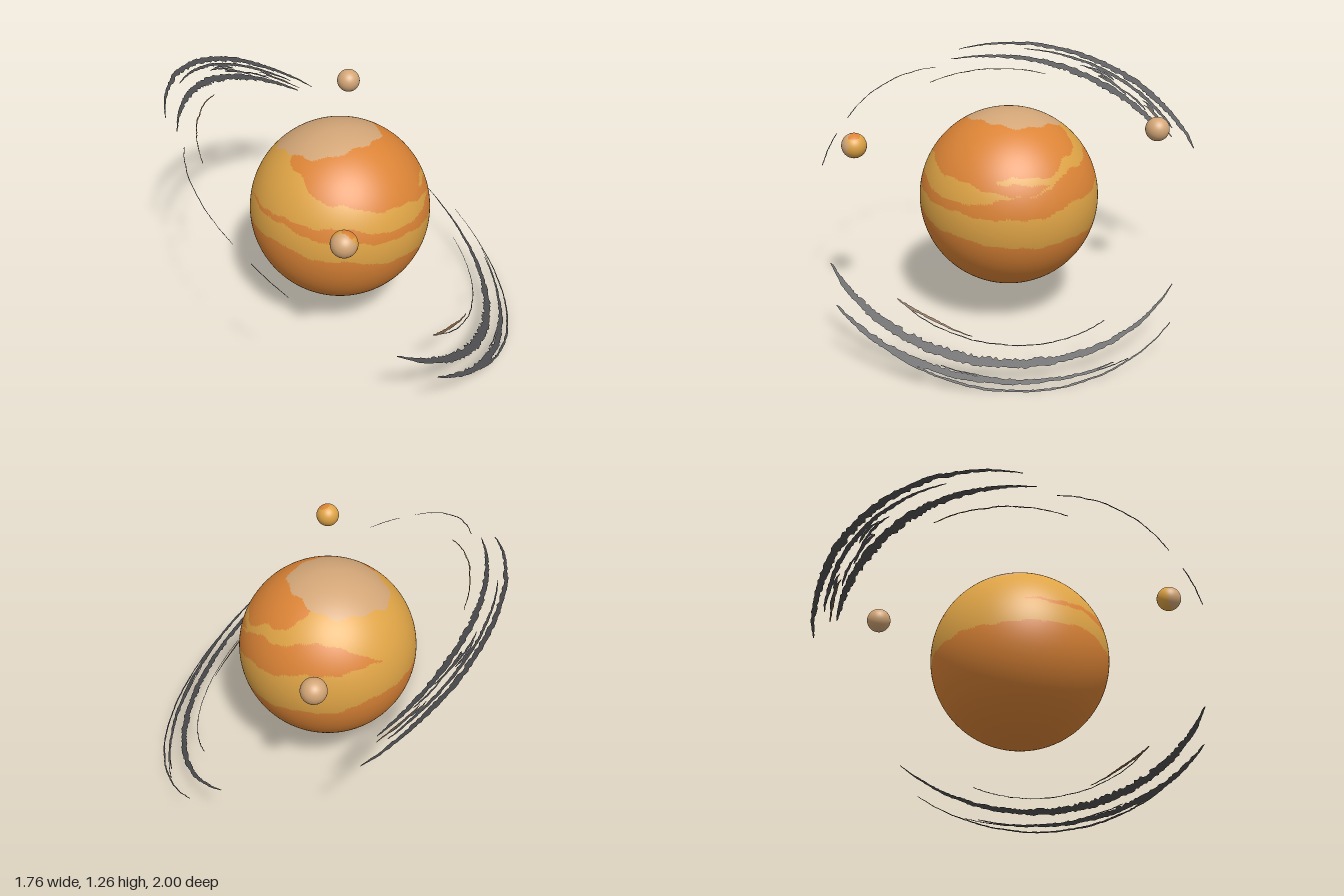
import * as THREE from 'three';

const material = (name, color, side = THREE.FrontSide) => {
  const m = new THREE.MeshStandardMaterial({ color, side });
  m.name = name;
  return m;
};

function seeded(seed) {
  let s = seed;
  return () => (s = (s * 16807) % 2147483647) / 2147483647;
}

// Cloud bands: heights of the colour borders at every 45 degrees, from front towards +x
const BORDERS = [
  [-0.05, -0.18, -0.27, -0.25, -0.19, -0.03, 0, 0.04],
  [0.18, 0.1, 0.06, 0.18, 0.3, 0.35, 0.3, 0.27],
  [0.33, 0.2, 0.3, 0.5, 0.6, 0.35, 0.3, 0.33],
  [0.54, 0.42, 0.3, 0.62, 0.9, 1.1, 1.1, 0.75],
];
const ORANGE = 0, YELLOW = 1, TAN = 2;

function planetColour(d) {
  // ragged oval polar cap
  const cx = (d.x + 0.12) / 0.54, cz = (d.z + 0.08) / 0.51, ca = Math.atan2(cz, cx);
  const edge = 1 + 0.04 * Math.sin(ca * 4 + 1) + 0.03 * Math.sin(ca * 11);
  if (d.y > 0 && Math.hypot(cx, cz) < edge) return TAN;

  const a = (Math.atan2(d.x, d.z) + Math.PI * 2) % (Math.PI * 2);
  const k = a / (Math.PI / 4), i = Math.floor(k) % 8, f = k - Math.floor(k);
  const ease = f * f * (3 - 2 * f);
  const wobble = 0.012 * Math.sin(a * 9 + 1) + 0.008 * Math.sin(a * 23 + d.y * 12);
  // short streak on the +x side
  if (((a - 1.66) / 0.42) ** 2 + ((d.y - 0.45 - wobble) / 0.035) ** 2 < 1) return YELLOW;
  const passed = BORDERS.filter((b) => d.y > b[i] + (b[(i + 1) % 8] - b[i]) * ease + wobble).length;
  return passed % 2 ? YELLOW : ORANGE;
}

function frontMoonColour(d) {
  if (d.z - 0.3 * d.x + 0.12 * Math.sin(d.y * 7) > 0.25) return TAN;
  return (d.x - 0.25) ** 2 + (d.y - 0.75) ** 2 + d.z ** 2 < 0.25 ? ORANGE : YELLOW;
}

// Smooth sphere whose faces are sorted into material groups
function paintedSphere(name, radius, segments, rows, colourOf, mats) {
  const g = new THREE.SphereGeometry(radius, segments, rows);
  const p = g.attributes.position, idx = g.index.array;
  const lists = mats.map(() => []);
  const d = new THREE.Vector3(), v = new THREE.Vector3();
  for (let i = 0; i < idx.length; i += 3) {
    const tri = [idx[i], idx[i + 1], idx[i + 2]];
    d.set(0, 0, 0);
    tri.forEach((t) => d.add(v.fromBufferAttribute(p, t)));
    lists[colourOf(d.normalize())].push(...tri);
  }
  g.setIndex(lists.flat());
  let start = 0;
  lists.forEach((l, i) => {
    g.addGroup(start, l.length, i);
    start += l.length;
  });
  const mesh = new THREE.Mesh(g, mats);
  mesh.name = name;
  return mesh;
}

// Ragged flat arc: angles in degrees (falling), radius at start, middle and end, greatest width
function strand(name, [from, to, r0, r1, r2, width], mat, seed) {
  const rnd = seeded(seed * 7919 + 13), pos = [], index = [];
  const steps = Math.ceil((from - to) / 0.8);
  let drift = 0;
  for (let s = 0; s <= steps; s++) {
    const f = s / steps, a = THREE.MathUtils.degToRad(from + (to - from) * f);
    drift = drift * 0.8 + (rnd() - 0.5) * 0.003;
    const r = r0 * (1 - f) * (1 - 2 * f) + r1 * 4 * f * (1 - f) + r2 * f * (2 * f - 1) + drift;
    const w = 0.004 + (width - 0.004) * Math.sin(Math.PI * f ** 0.7);
    for (const e of [r - w * (0.3 + 0.4 * rnd()), r + w * (0.35 + 0.25 * rnd())])
      pos.push(e * Math.cos(a), 0, e * Math.sin(a));
    const n = s * 2;
    if (s) index.push(n - 2, n - 1, n, n - 1, n + 1, n);
  }
  const g = new THREE.BufferGeometry();
  g.setAttribute('position', new THREE.Float32BufferAttribute(pos, 3));
  g.setIndex(index);
  g.computeVertexNormals();
  const mesh = new THREE.Mesh(g, mat);
  mesh.name = name;
  return mesh;
}

export function createModel() {
  const group = new THREE.Group();
  group.name = 'ringedPlanet';
  const mats = [material('orange', 0xdc8436), material('yellow', 0xdfa446), material('tan', 0xd3a677)];
  const grey = material('ringGrey', 0x505052, THREE.DoubleSide);
  const brown = material('ringBrown', 0x7a5a3c, THREE.DoubleSide);

  // Planet and two moons
  const planet = paintedSphere('planet', 0.46, 220, 130, planetColour, mats);
  planet.position.set(-0.04, 0.66, 0.06);
  const frontMoon = paintedSphere('frontMoon', 0.063, 48, 32, frontMoonColour, mats);
  frontMoon.position.set(-0.007, 0.98, 0.84);
  const backMoon = new THREE.Mesh(new THREE.SphereGeometry(0.063, 48, 32), mats[TAN]);
  backMoon.name = 'backMoon';
  backMoon.position.set(-0.007, 0.98, -0.715);

  // Broken, tilted rings
  const rings = new THREE.Group();
  rings.name = 'rings';
  rings.position.copy(planet.position);
  rings.rotation.z = -0.62;
  const rightStrands = [
    [70, -51, 0.99, 0.968, 0.955, 0.05],
    [58, -20, 1.08, 1.062, 1.06, 0.036],
    [48, -40, 1.07, 1.105, 1.06, 0.012],
    [26, -24, 1.04, 1.055, 1.075, 0.008],
    [47, -25, 0.84, 0.87, 0.853, 0.005],
  ];
  const leftStrands = [
    [251, 168, 0.965, 0.948, 0.96, 0.045],
    [258, 172, 1.08, 1.085, 1.02, 0.04],
    [249, 193, 1.035, 1.045, 1.02, 0.025],
    [118, 105, 0.97, 0.973, 0.975, 0.005],
    [162, 125, 0.93, 0.972, 0.97, 0.005],
  ];
  [...rightStrands, ...leftStrands].forEach((p, i) => rings.add(strand('ringStrand', p, grey, i + 1)));
  const brownStrands = [
    [48, 20, 0.842, 0.836, 0.85, 0.014],
    [202, 157, 0.865, 0.854, 0.843, 0.006],
    [252, 238, 1, 1, 1.005, 0.01],
  ];
  brownStrands.forEach((p, i) => rings.add(strand('brownStrand', p, brown, i + 20)));

  // Short wisps among the wide strands
  const rnd = seeded(42);
  for (let i = 0; i < 9; i++) {
    const a = 212 + 28 * rnd(), r = 0.975 + 0.05 * rnd(), length = 5 + 8 * rnd();
    rings.add(strand('ringWisp', [a + length, a, r, r + 0.012, r + 0.005, 0.014], grey, i + 40));
  }

  group.add(planet, frontMoon, backMoon, rings);
  return group;
}
